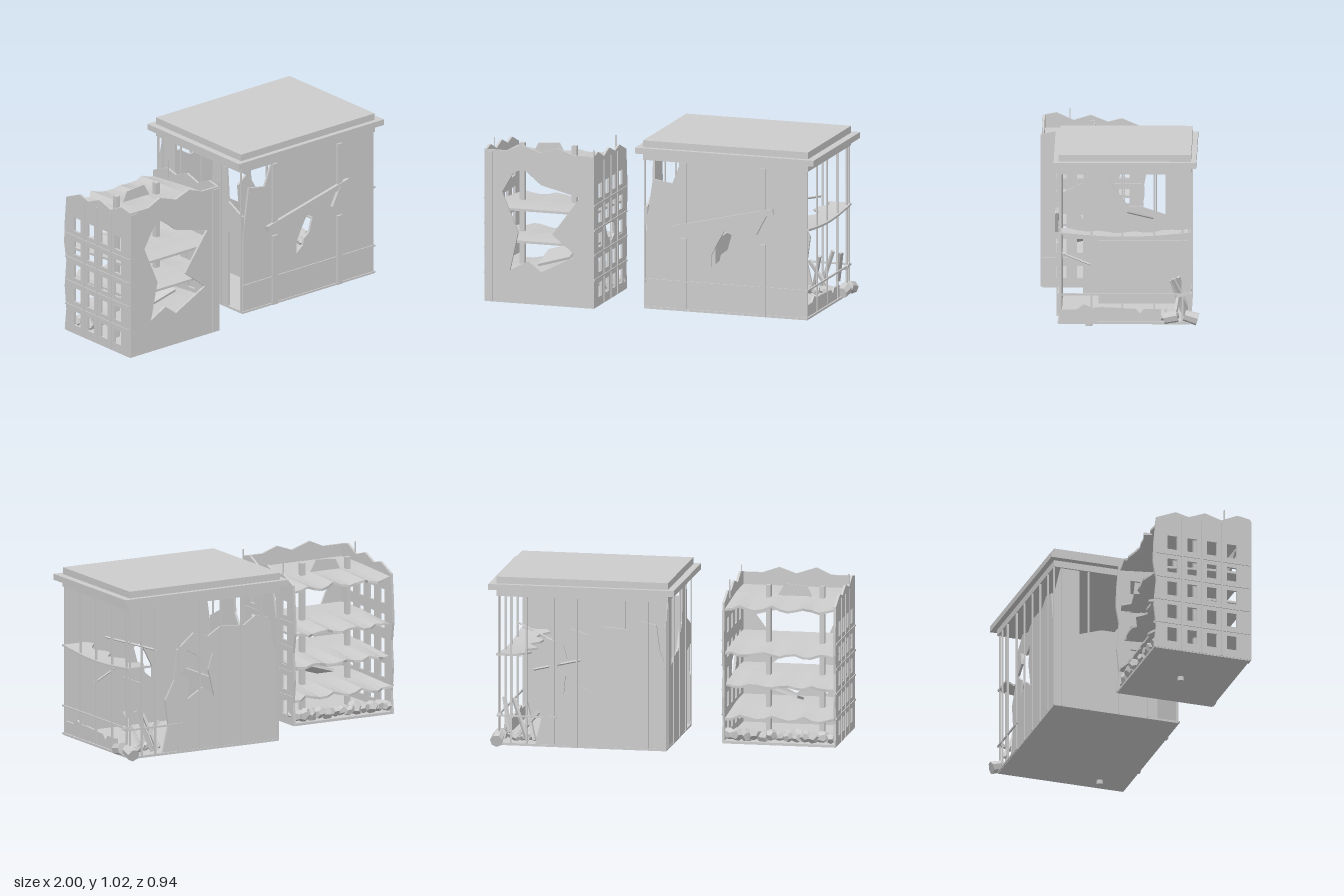
import * as THREE from 'three';

export function createModel() {
  const root = new THREE.Group();
  const mat = new THREE.MeshStandardMaterial({ color: 0xcccccc, flatShading: true, side: THREE.DoubleSide });
  let seed = 7;
  const rnd = () => (seed = (seed * 16807) % 2147483647) / 2147483647;

  const group = (name) => {
    const g = new THREE.Group();
    g.name = name;
    root.add(g);
    return g;
  };
  const add = (g, name, geo) => {
    const m = new THREE.Mesh(geo, mat);
    m.name = name;
    g.add(m);
    return m;
  };
  // box from its limits on each axis
  const box = (g, name, x0, x1, y0, y1, z0, z1) => {
    const m = add(g, name, new THREE.BoxGeometry(x1 - x0, y1 - y0, z1 - z0));
    m.position.set((x0 + x1) / 2, (y0 + y1) / 2, (z0 + z1) / 2);
    return m;
  };
  // square bar between two points
  const bar = (g, name, a, b, w, d = w) => {
    const p = new THREE.Vector3(...a), q = new THREE.Vector3(...b);
    const m = add(g, name, new THREE.BoxGeometry(w, p.distanceTo(q), d));
    m.position.copy(p).add(q).multiplyScalar(0.5);
    m.quaternion.setFromUnitVectors(new THREE.Vector3(0, 1, 0), q.sub(p).normalize());
    return m;
  };
  const vecs = (pts) => pts.map((p) => new THREE.Vector2(...p));
  // flat outline with holes, facing z ('front'), x ('side') or y ('floor')
  const panel = (g, name, facing, at, pts, holes = [], t = 0.014) => {
    const s = new THREE.Shape(vecs(pts));
    holes.forEach((h) => s.holes.push(new THREE.Path(vecs(h))));
    const geo = new THREE.ExtrudeGeometry(s, { depth: t, bevelEnabled: false });
    geo.translate(0, 0, -t / 2);
    const m = add(g, name, geo);
    if (facing === 'front') m.position.z = at;
    if (facing === 'side') { m.rotation.y = -Math.PI / 2; m.position.x = at; }
    if (facing === 'floor') { m.rotation.x = Math.PI / 2; m.position.y = at; }
    return m;
  };
  const stone = (g, x, y, z, r) => {
    const m = add(g, 'rubble', new THREE.DodecahedronGeometry(r, 0));
    m.position.set(x, y, z);
    m.scale.set(1.1, 0.8, 0.7 + rnd() * 0.3);
    m.rotation.set(rnd() * 3, rnd() * 3, rnd() * 0.5);
  };
  const peg = (g, x, z) => {
    const m = add(g, 'peg', new THREE.CylinderGeometry(0.02, 0.02, 0.03, 10));
    m.position.set(x, 0.015, z);
  };

  // ---------- ruined apartment block ----------
  const A = group('apartmentBlock');
  box(A, 'base', -0.995, -0.325, 0.025, 0.04, -0.13, 0.455);
  peg(A, -0.65, 0.15);
  panel(A, 'frontWall', 'front', 0.452,
    [[-0.995, 0.03], [-0.325, 0.03], [-0.325, 0.93], [-0.45, 0.93], [-0.55, 0.965], [-0.65, 0.93],
      [-0.77, 0.97], [-0.86, 0.93], [-0.995, 0.93]],
    [[[-0.89, 0.68], [-0.82, 0.8], [-0.76, 0.83], [-0.65, 0.74], [-0.41, 0.68], [-0.58, 0.45],
      [-0.43, 0.33], [-0.65, 0.22], [-0.73, 0.28], [-0.84, 0.22], [-0.79, 0.45]]]);
  for (const x of [-0.97, -0.35]) box(A, 'cornerPilaster', x - 0.025, x + 0.025, 0.03, 0.92, 0.455, 0.465);

  // side walls with window grids and broken rear edges
  for (const x of [-0.99, -0.33]) {
    const holes = [];
    for (let r = 0; r < 5; r++) {
      for (let c = 0; c < 4; c++) {
        const y = 0.08 + r * 0.147, z = 0.315 - c * 0.122;
        if (x > -0.5 && c > 0 && c < 3 && r === 2) continue;
        holes.push([[z, y], [z + 0.06, y], [z + 0.06, y + 0.085], [z, y + 0.085]]);
      }
    }
    if (x > -0.5) holes.push([[0.09, 0.4], [0.16, 0.36], [0.22, 0.42], [0.25, 0.48], [0.16, 0.5], [0.1, 0.47]]);
    panel(A, 'sideWall', 'side', x,
      [[0.46, 0.03], [0.46, 0.93], [0.38, 0.945], [0.28, 0.9], [0.18, 0.93], [0.08, 0.89], [0, 0.91],
        [-0.12, 0.86], [-0.135, 0.7], [-0.14, 0.57], [-0.12, 0.46], [-0.135, 0.3], [-0.12, 0.16], [-0.135, 0.03]], holes);
    const out = x < -0.5 ? -0.998 : -0.322;
    for (let r = 0; r < 4; r++) box(A, 'ledge', out - 0.004, out + 0.004, 0.19 + r * 0.147, 0.2 + r * 0.147, -0.125, 0.455);
    for (const z of [0.285, 0.16, 0.04]) box(A, 'mullion', out - 0.004, out + 0.004, 0.03, 0.88, z - 0.004, z + 0.004);
  }

  // floors with torn, drooping rear edges
  [0.2, 0.39, 0.58, 0.85].forEach((y, k) => {
    const n = 14, geo = new THREE.BoxGeometry(0.66, 0.014, 0.58, n, 1, 5);
    const p = geo.attributes.position;
    const tear = Array.from({ length: n + 1 }, () => rnd());
    for (let i = 0; i < p.count; i++) {
      const u = Math.round((p.getX(i) / 0.66 + 0.5) * n);
      const back = Math.max(0, 0.1 - p.getZ(i)) / 0.39;
      p.setZ(i, p.getZ(i) + back * tear[u] * 0.05);
      p.setY(i, p.getY(i) - back * (0.01 + 0.025 * Math.abs(Math.sin(u * 0.8 + k))));
    }
    geo.computeVertexNormals();
    add(A, k === 3 ? 'roof' : 'floor', geo).position.set(-0.66, y, 0.155);
  });
  for (const [x, z] of [[-0.86, 0.17], [-0.545, 0.155]]) box(A, 'column', x - 0.014, x + 0.014, 0.04, 0.92, z - 0.016, z + 0.016);
  panel(A, 'roofPanel', 'front', 0.155, [[-0.8, 0.86], [-0.6, 0.86], [-0.64, 0.93], [-0.77, 0.92]], [], 0.008);
  const slab = box(A, 'fallenSlab', -0.73, -0.52, 0.27, 0.285, 0.1, 0.3);
  slab.rotation.set(0.25, 0, 0.3);
  for (const [x, z] of [[-0.325, 0.455], [-0.99, 0.3], [-0.34, 0.02]]) bar(A, 'bareRod', [x, 0.86, z], [x, 0.97, z], 0.006);
  for (let i = 0; i < 13; i++) {
    stone(A, -0.96 + i * 0.05, 0.07 + rnd() * 0.015, -0.11 + rnd() * 0.02, 0.035 + rnd() * 0.012);
    if (i % 2) stone(A, -0.95 + i * 0.05, 0.065, -0.03, 0.04);
  }

  // ---------- gutted hall ----------
  const B = group('guttedHall');
  box(B, 'base', -0.05, 0.95, 0.025, 0.038, -0.422, 0.345);
  peg(B, 0.85, 0.17);
  box(B, 'cornice', -0.06, 0.955, 0.91, 0.95, -0.425, 0.348);
  box(B, 'eave', -0.1, 1, 0.95, 0.985, -0.455, 0.375);
  box(B, 'roof', -0.06, 0.955, 0.985, 1.025, -0.425, 0.345);

  panel(B, 'frontWall', 'front', 0.338,
    [[-0.045, 0.03], [0.945, 0.03], [0.945, 0.91], [0.17, 0.91], [0.12, 0.78], [0, 0.8], [-0.04, 0.53]],
    [[[0.36, 0.3], [0.41, 0.34], [0.42, 0.38], [0.46, 0.41], [0.485, 0.5], [0.44, 0.52], [0.4, 0.45], [0.36, 0.37]]]);
  panel(B, 'backWall', 'front', -0.412,
    [[-0.045, 0.03], [0.73, 0.03], [0.69, 0.2], [0.71, 0.35], [0.65, 0.46], [0.63, 0.64], [0.52, 0.73], [0.42, 0.7],
      [0.34, 0.75], [0.18, 0.74], [0.1, 0.79], [0.01, 0.77], [-0.01, 0.62], [-0.045, 0.53]],
    [[[0.38, 0.34], [0.46, 0.4], [0.56, 0.34], [0.55, 0.45], [0.61, 0.5], [0.54, 0.55], [0.56, 0.63],
      [0.46, 0.57], [0.39, 0.6], [0.42, 0.5]]]);
  panel(B, 'farSideWall', 'side', -0.042,
    [[-0.415, 0.03], [0.215, 0.03], [0.215, 0.5], [0.34, 0.52], [0.34, 0.63], [0.215, 0.69], [0.2, 0.9], [0.08, 0.91],
      [0.06, 0.7], [-0.05, 0.55], [-0.13, 0.55], [-0.265, 0.505], [-0.265, 0.91], [-0.38, 0.91], [-0.415, 0.76]]);
  panel(B, 'nearSideParapet', 'side', 0.938,
    [[-0.25, 0.03], [0.345, 0.03], [0.345, 0.11], [0.24, 0.11], [0.2, 0.14], [0.15, 0.12], [0.1, 0.125],
      [-0.1, 0.115], [-0.13, 0.085], [-0.15, 0.115], [-0.25, 0.115]]);
  panel(B, 'partition', 'side', 0.3, [[-0.41, 0.03], [0.12, 0.03], [0.12, 0.41], [0.04, 0.41], [-0.41, 0.41]]);

  // thin posts and rails of the frame
  for (const z of [0.335, 0.155, -0.025, -0.21, -0.375, -0.412]) box(B, 'sidePost', 0.94, 0.95, 0.03, 0.91, z - 0.005, z + 0.005);
  for (const z of [0.335, 0.155, -0.025, -0.21, -0.375]) box(B, 'farSidePost', -0.055, -0.047, 0.03, 0.91, z - 0.004, z + 0.004);
  for (const x of [-0.045, 0.06, 0.2, 0.34, 0.48, 0.62, 0.78, 0.87]) box(B, 'backPost', x - 0.005, x + 0.005, 0.03, 0.91, -0.426, -0.416);
  for (const y of [0.035, 0.2]) {
    box(B, 'frontRail', -0.05, 0.955, y - 0.005, y + 0.005, 0.345, 0.352);
    box(B, 'sideRail', 0.945, 0.955, y - 0.005, y + 0.005, -0.425, 0.352);
    box(B, 'backRail', 0.6, 0.955, y - 0.005, y + 0.005, -0.427, -0.418);
  }

  // broken pilasters and slumped beams on the front
  for (const x of [0.19, 0.68]) {
    box(B, 'pilaster', x - 0.018, x + 0.018, 0.03, 0.46, 0.345, 0.36);
    box(B, 'pilaster', x - 0.018, x + 0.018, x > 0.5 ? 0.63 : 0.53, 0.91, 0.345, 0.36);
  }
  bar(B, 'slumpedBeam', [0.13, 0.515, 0.356], [0.745, 0.66, 0.356], 0.035, 0.02);
  bar(B, 'snappedPilaster', [0.63, 0.525, 0.36], [0.69, 0.64, 0.36], 0.035, 0.02);

  // remains of the upper floor, sagging along the open side
  const geo = new THREE.BoxGeometry(0.15, 0.012, 0.765, 3, 1, 14);
  const p = geo.attributes.position;
  for (let i = 0; i < p.count; i++) {
    const z = p.getZ(i), inner = p.getX(i) < -0.07;
    p.setY(i, p.getY(i) - 0.025 * Math.cos((z / 0.765) * Math.PI));
    if (inner) p.setX(i, p.getX(i) + 0.035 * Math.sin(z * 33));
  }
  geo.computeVertexNormals();
  add(B, 'upperFloor', geo).position.set(0.885, 0.562, -0.038);

  // debris at the open corner
  const planks = [
    [[0.93, 0.29, -0.32], [0.88, 0.1, -0.41]], [[0.87, 0.29, -0.35], [0.78, 0.05, -0.39]],
    [[0.8, 0.26, -0.31], [0.74, 0.05, -0.38]], [[0.72, 0.22, -0.36], [0.86, 0.05, -0.33]],
    [[0.95, 0.19, -0.34], [0.94, 0.21, -0.42]],
  ];
  planks.forEach(([a, b]) => bar(B, 'fallenPlank', a, b, 0.022, 0.016));
  bar(B, 'looseBar', [0.7, 0.39, 0.09], [0.7, 0.39, -0.15], 0.008);
  bar(B, 'looseBar', [0.6, 0.39, 0.34], [0.85, 0.36, 0.16], 0.01);
  bar(B, 'hangingBar', [0.64, 0.6, -0.2], [0.9, 0.68, -0.05], 0.01);
  for (const [z, tilt] of [[-0.305, 0.2], [-0.425, -0.3]]) {
    const m = add(B, 'rubbleBlock', new THREE.CylinderGeometry(0.034, 0.038, 0.08, 7));
    m.position.set(0.95, 0.067, z);
    m.rotation.set(Math.PI / 2 + tilt, 0, 0);
  }
  for (let i = 0; i < 6; i++) stone(B, 0.7 + i * 0.04, 0.06, -0.36 + rnd() * 0.12, 0.03);
  return root;
}
